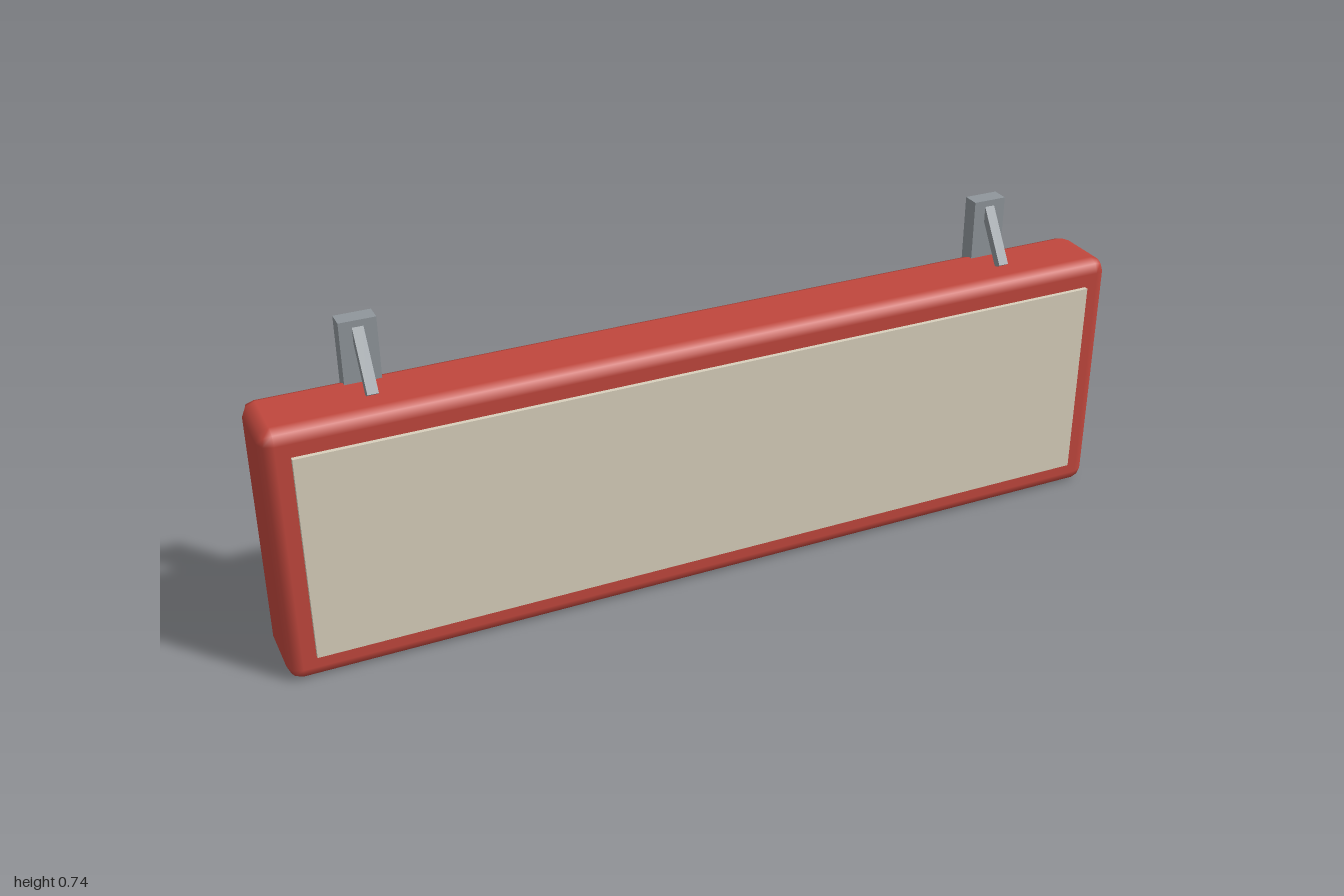
import * as THREE from 'three';
import { RoundedBoxGeometry } from 'three/addons/geometries/RoundedBoxGeometry.js';

const red = new THREE.MeshStandardMaterial({ color: 0xc0473d });
const cream = new THREE.MeshStandardMaterial({ color: 0xd8d0bc });
const steel = new THREE.MeshStandardMaterial({ color: 0x8f969b });

function part(name, geometry, material, x, y, z) {
  const mesh = new THREE.Mesh(geometry, material);
  mesh.name = name;
  mesh.position.set(x, y, z);
  return mesh;
}

// Upright post with a slanted strut leaning forward onto the casing
function createBracket(name, x) {
  const bracket = new THREE.Group();
  bracket.name = name;
  bracket.position.x = x;
  const strut = part('strut', new THREE.BoxGeometry(0.024, 0.15, 0.02), steel, 0, 0.665, -0.028);
  strut.rotation.x = -0.575;
  bracket.add(
    part('post', new THREE.BoxGeometry(0.08, 0.16, 0.04), steel, 0, 0.66, -0.075),
    strut
  );
  return bracket;
}

export function createModel() {
  const model = new THREE.Group();
  model.name = 'hangingSign';

  // Casing with softened edges
  model.add(part('casing', new RoundedBoxGeometry(2, 0.6, 0.18, 1, 0.03), red, 0, 0.3, -0.005));

  // Face panel standing slightly proud of the casing
  model.add(part('facePanel', new THREE.BoxGeometry(1.88, 0.48, 0.02), cream, 0, 0.3, 0.085));

  // Mounting brackets on both sides
  model.add(createBracket('leftBracket', 0.75), createBracket('rightBracket', -0.75));

  return model;
}
